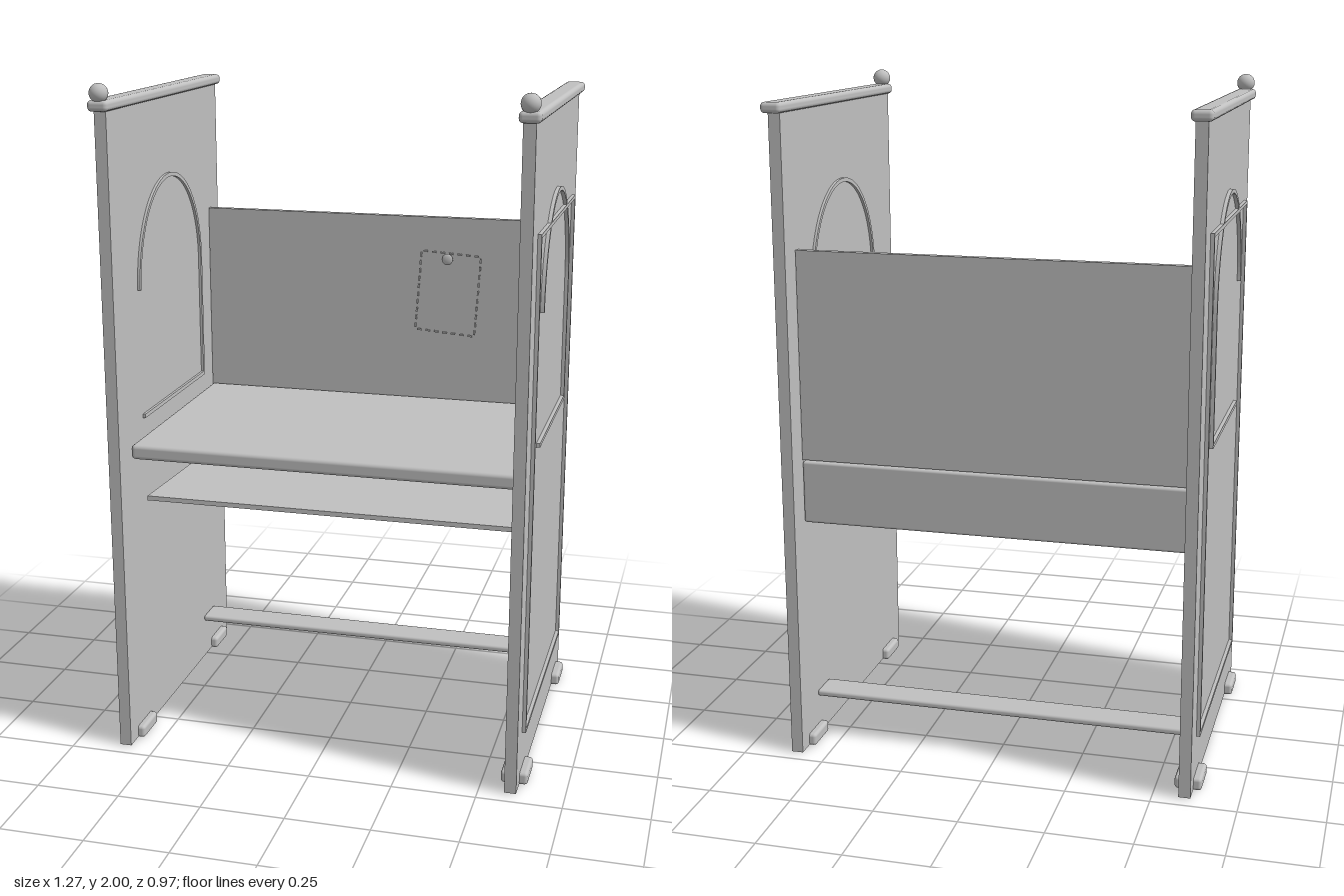
import * as THREE from 'three';
import { RoundedBoxGeometry } from 'three/addons/geometries/RoundedBoxGeometry.js';

export function createModel() {
  const root = new THREE.Group();
  root.name = 'highSidedBench';
  const grey = new THREE.MeshStandardMaterial({ color: 0xc0c0c0 });
  grey.name = 'lightGrey';

  const add = (name, geometry, x = 0, y = 0, z = 0) => {
    const mesh = new THREE.Mesh(geometry, grey);
    mesh.name = name;
    mesh.position.set(x, y, z);
    root.add(mesh);
    return mesh;
  };
  // Box given by its limits on each axis, with optional rounded edges
  const block = (name, [x0, x1], [y0, y1], [z0, z1], r = 0) => {
    const s = [x1 - x0, y1 - y0, z1 - z0];
    const g = r ? new RoundedBoxGeometry(...s, 3, r) : new THREE.BoxGeometry(...s);
    return add(name, g, (x0 + x1) / 2, (y0 + y1) / 2, (z0 + z1) / 2);
  };
  // Shape drawn in the z-y plane, extruded towards -x
  const sideExtrude = (shape, depth) =>
    new THREE.ExtrudeGeometry(shape, { depth, bevelEnabled: false, curveSegments: 32 }).rotateY(-Math.PI / 2);

  // Open arch moulding with a straight rear leg and a base line
  const arch = new THREE.Shape();
  arch.moveTo(0.271, 1.385);
  arch.absellipse(0, 1.385, 0.271, 0.311, 0, Math.PI, false);
  arch.lineTo(-0.271, 0.994);
  arch.lineTo(0.265, 0.994);
  arch.lineTo(0.265, 1.006);
  arch.lineTo(-0.259, 1.006);
  arch.lineTo(-0.259, 1.385);
  arch.absellipse(0, 1.385, 0.259, 0.299, Math.PI, 0, true);

  // Rectangular frame moulding
  const rect = (path, z, y0, y1) => {
    path.moveTo(-z, y0);
    path.lineTo(z, y0);
    path.lineTo(z, y1);
    path.lineTo(-z, y1);
    path.closePath();
    return path;
  };
  const frame = rect(new THREE.Shape(), 0.37, 0.155, 1.62);
  frame.holes.push(rect(new THREE.Path(), 0.359, 0.166, 1.609));

  // Side panels with rails, finials, feet and mouldings
  for (const s of [-1, 1]) {
    const span = (a, b) => (s > 0 ? [a, b] : [-b, -a]);
    block('sidePanel', span(0.576, 0.611), [0.003, 1.925], [-0.46, 0.457]);
    block('topRail', span(0.565, 0.626), [1.923, 1.954], [-0.485, 0.475], 0.012);
    add('finialBall', new THREE.SphereGeometry(0.027, 24, 16), s * 0.595, 1.973, 0.456);
    for (const z of [[0.283, 0.397], [-0.405, -0.292]])
      block('foot', span(0.555, 0.635), [0, 0.038], z, 0.01);
    add('archMoulding', sideExtrude(arch, 0.054), s > 0 ? 0.622 : -0.568);
    add('frameMoulding', sideExtrude(frame, 0.012), s > 0 ? 0.622 : -0.61);
  }

  // Seat, back and the tilted shelf under the seat
  block('seat', [-0.574, 0.574], [0.896, 0.941], [-0.366, 0.374], 0.012);
  block('backrest', [-0.574, 0.574], [0.91, 1.532], [-0.387, -0.365]);
  block('lowerBack', [-0.574, 0.574], [0.717, 0.906], [-0.39, -0.365], 0.008);
  const shelf = block('shelf', [-0.557, 0.557], [0.73, 0.744], [-0.375, 0.3]);
  shelf.rotation.x = -0.046;

  // Stretcher
  block('stretcher', [-0.578, 0.578], [0.128, 0.148], [-0.322, -0.225], 0.008);

  // Dashed stitch outline on the backrest
  const corners = [[0.14, 1.424], [0.332, 1.412], [0.315, 1.152], [0.122, 1.168]];
  corners.forEach(([x0, y0], i) => {
    const [x1, y1] = corners[(i + 1) % 4];
    const length = Math.hypot(x1 - x0, y1 - y0);
    const count = Math.round(length / 0.027);
    for (let k = 0; k < count; k++) {
      const t = (k + 0.5) / count;
      const dash = add('stitch', new THREE.BoxGeometry(0.014, 0.005, 0.006),
        x0 + (x1 - x0) * t, y0 + (y1 - y0) * t, -0.362);
      dash.rotation.z = Math.atan2(y1 - y0, x1 - x0);
    }
  });

  // Small knob on the backrest
  add('knobStem', new THREE.CylinderGeometry(0.006, 0.006, 0.02, 12).rotateX(Math.PI / 2), 0.227, 1.402, -0.357);
  const head = new THREE.SphereGeometry(0.018, 20, 12).scale(1, 1, 0.35);
  add('knobHead', head, 0.227, 1.402, -0.346);

  return root;
}
